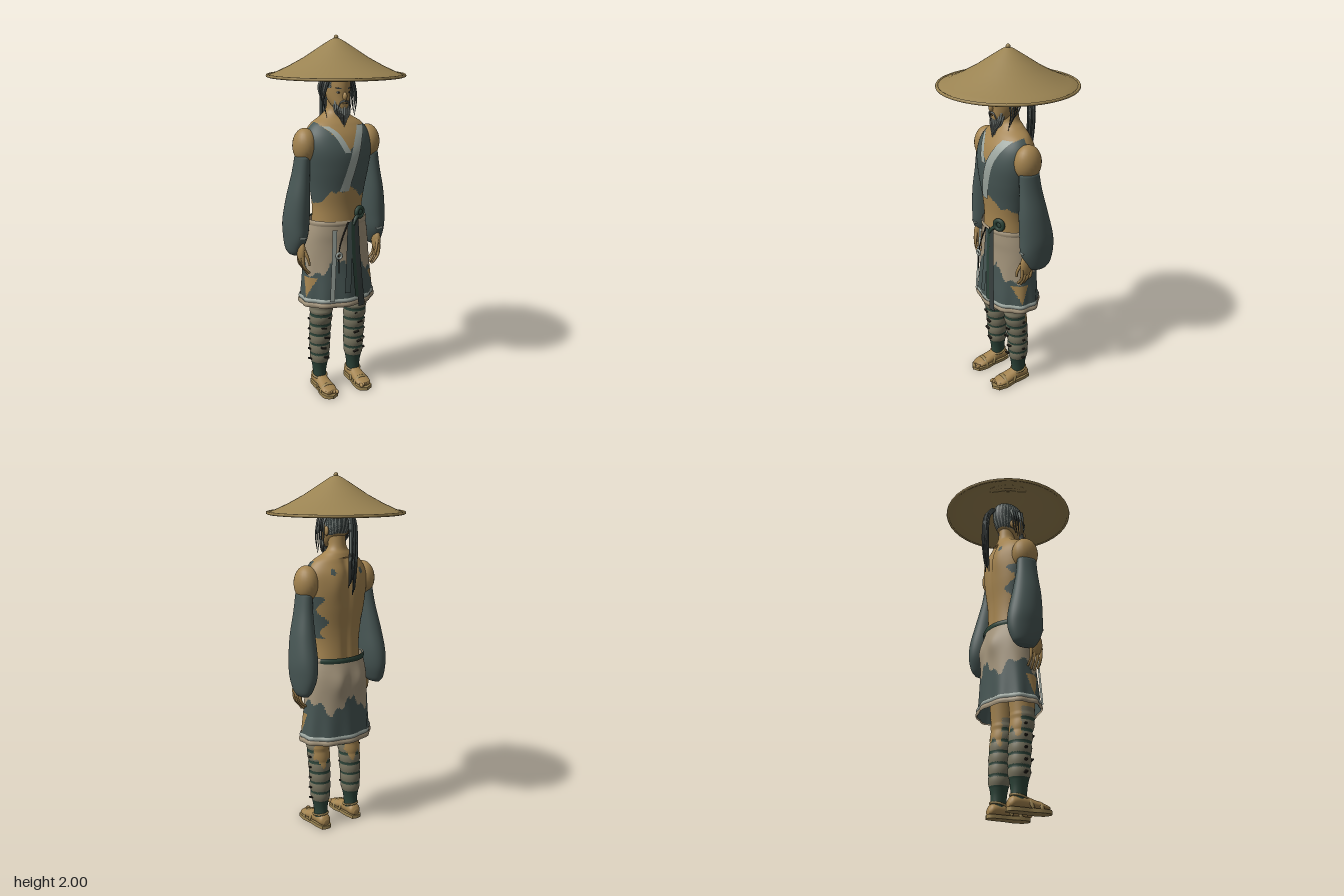
import * as THREE from 'three';

const V = (x, y, z) => new THREE.Vector3(x, y, z);

// Smooth cross-section sampler; a section is [y, centreX, centreZ, radiusX, radiusZ]
function sampler(secs) {
  const a = new THREE.CatmullRomCurve3(secs.map(s => V(s[0], s[1], s[2])), false, 'catmullrom');
  const b = new THREE.CatmullRomCurve3(secs.map(s => V(s[3], s[4], 0)), false, 'catmullrom');
  return t => { const p = a.getPoint(t), q = b.getPoint(t); return [p.x, p.y, p.z, q.x, q.y]; };
}

// Front surface depth of a lofted body at (x, y)
function frontOf(secs, lift) {
  const at = sampler(secs);
  return (x, y) => {
    let lo = 0, hi = 1;
    for (let i = 0; i < 18; i++) { const m = (lo + hi) / 2; if (at(m)[0] < y) lo = m; else hi = m; }
    const [, cx, cz, rx, rz] = at(lo), u = (x - cx) / rx;
    return cz + rz * Math.sqrt(Math.max(0, 1 - u * u)) + lift;
  };
}

// Closed skin through the sections; pick() chooses the colour of each face
function loft(name, secs, mats, { pick = () => 0, warp, rows = 40, cols = 40, open = false } = {}) {
  const at = sampler(secs), pos = [], buckets = mats.map(() => []);
  for (let i = 0; i <= rows; i++) {
    const [y, cx, cz, rx, rz] = at(i / rows);
    for (let j = 0; j < cols; j++) {
      const a = j / cols * Math.PI * 2, v = V(cx + rx * Math.sin(a), y, cz + rz * Math.cos(a));
      if (warp) warp(v, a);
      pos.push(v);
    }
  }
  const tri = (a, b, c) => {
    const m = pos[a].clone().add(pos[b]).add(pos[c]).divideScalar(3);
    buckets[pick(m.x, m.y, m.z)].push(a, b, c);
  };
  for (let i = 0; i < rows; i++) for (let j = 0; j < cols; j++) {
    const k = (j + 1) % cols, a = i * cols + j, b = i * cols + k;
    tri(a, b, b + cols); tri(a, b + cols, a + cols);
  }
  if (!open) {
    const n = pos.length, top = rows * cols, s0 = at(0), s1 = at(1);
    pos.push(V(s0[1], s0[0], s0[2]), V(s1[1], s1[0], s1[2]));
    for (let j = 0; j < cols; j++) {
      const k = (j + 1) % cols;
      tri(n, k, j); tri(n + 1, top + j, top + k);
    }
  }
  const g = new THREE.BufferGeometry().setFromPoints(pos);
  g.setIndex(buckets.flat());
  let start = 0;
  buckets.forEach((b, i) => { g.addGroup(start, b.length, i); start += b.length; });
  g.computeVertexNormals();
  const mesh = new THREE.Mesh(g, mats);
  mesh.name = name;
  return mesh;
}

// Cloth ribbon following [x, y] points, draped on depth z(x, y)
function ribbon(name, pts, width, z, mat) {
  const c = new THREE.CatmullRomCurve3(pts.map(p => V(p[0], p[1], 0))), n = 24;
  const g = new THREE.PlaneGeometry(width, 1, 4, n), p = g.attributes.position;
  for (let i = 0; i < p.count; i++) {
    const q = c.getPoint(0.5 - p.getY(i)), x = q.x + p.getX(i);
    p.setXYZ(i, x, q.y, z(x, q.y));
  }
  g.computeVertexNormals();
  const m = new THREE.Mesh(g, mat); m.name = name; return m;
}

// Strand that thins toward its end
function strand(name, pts, r, mat, taper = 0.85) {
  const c = new THREE.CatmullRomCurve3(pts.map(p => V(...p))), n = 14;
  const g = new THREE.TubeGeometry(c, n, r, 6), p = g.attributes.position, v = V(0, 0, 0);
  for (let i = 0; i < p.count; i++) {
    const u = Math.floor(i / 7) / n;
    v.fromBufferAttribute(p, i).lerp(c.getPointAt(u), taper * u);
    p.setXYZ(i, v.x, v.y, v.z);
  }
  const m = new THREE.Mesh(g, mat); m.name = name; return m;
}

export function createModel() {
  const root = new THREE.Group();
  root.name = 'wanderer';
  const mat = (name, color) => Object.assign(new THREE.MeshStandardMaterial({ color, side: THREE.DoubleSide }), { name });
  const skin = mat('skin', 0xa3834f), straw = mat('straw', 0x9a8352), teal = mat('teal cloth', 0x475654),
    beige = mat('beige cloth', 0xa3947b), pale = mat('pale trim', 0x9ca69f), green = mat('dark green', 0x2b4237),
    hair = mat('dark hair', 0x363e3d), grey = mat('grey hair', 0x737a76), wrap = mat('leg wrap', 0x77735f),
    dark = mat('dark detail', 0x26231d);
  const add = (...m) => root.add(...m);
  const put = (name, geo, m, p, s = [1, 1, 1], r = [0, 0, 0]) => {
    const mesh = new THREE.Mesh(geo, m);
    mesh.name = name; mesh.position.set(...p); mesh.scale.set(...s); mesh.rotation.set(...r);
    root.add(mesh); return mesh;
  };
  const ball = new THREE.SphereGeometry(1, 24, 16), box = new THREE.BoxGeometry(1, 1, 1);
  const mirror = (secs, s) => secs.map(([y, x, ...r]) => [y, x * s, ...r]);

  // Conical hat
  const top = [[0.36, 1.797], [0.32, 1.811], [0.25, 1.843], [0.17, 1.886], [0.09, 1.938], [0.03, 1.976], [0, 1.988]];
  const under = top.map(([x, y]) => [x, y - 0.008]).reverse();
  put('hat', new THREE.LatheGeometry([...under, ...top].map(p => new THREE.Vector2(...p)), 40), straw, [0, 0, 0]);
  put('hatRim', new THREE.TorusGeometry(0.364, 0.008, 8, 40), straw, [0, 1.794, 0], [1, 1, 1], [Math.PI / 2, 0, 0]);
  put('hatKnob', ball, straw, [0, 1.988, 0], [0.012, 0.012, 0.012]);

  // Head with hair grown from the scalp
  const head = [[1.61, 0, 0.065, 0.02, 0.03], [1.64, 0, 0.045, 0.044, 0.056], [1.69, 0, 0.016, 0.062, 0.085],
    [1.75, 0, 0.005, 0.068, 0.098], [1.81, 0, 0, 0.066, 0.094], [1.85, 0, -0.005, 0.05, 0.07], [1.87, 0, -0.005, 0.02, 0.03]];
  add(loft('head', head, [skin, hair, grey], {
    cols: 72,
    pick: (x, y, z) => (y > 1.785 || (z < 0.01 && y > 1.675 - z * 0.2) || (Math.abs(x) > 0.057 && y > 1.73))
      ? (Math.sin(Math.atan2(x, z) * 26) > 0.45 ? 2 : 1) : 0,
  }));
  const face = frontOf(head, 0.001);
  put('nose', ball, skin, [0, 1.69, 0.103], [0.012, 0.022, 0.016]);
  put('mouth', box, dark, [0, 1.652, face(0, 1.652) + 0.002], [0.026, 0.004, 0.004]);
  for (const s of [1, -1]) {
    put('eye', ball, pale, [s * 0.031, 1.71, face(0.031, 1.71) - 0.001], [0.012, 0.006, 0.004]);
    put('pupil', ball, dark, [s * 0.031, 1.71, face(0.031, 1.71) + 0.001], [0.005, 0.005, 0.004]);
    put('eyebrow', box, hair, [s * 0.032, 1.732, face(0.032, 1.732)], [0.03, 0.006, 0.006], [0, s * 0.35, s * 0.12]);
    put('ear', ball, skin, [s * 0.067, 1.7, -0.005], [0.01, 0.026, 0.016]);
    add(strand('moustache', [[0, 1.667, 0.106], [s * 0.022, 1.66, 0.102], [s * 0.036, 1.62, 0.09]], 0.006, grey));
    for (let i = 0; i < 5; i++)
      add(strand('sideLock', [[s * 0.06, 1.8, 0.06 - i * 0.018], [s * (0.082 + i * 0.003), 1.74, 0.055 - i * 0.018],
        [s * (0.097 - i * 0.003), 1.67, 0.05 - i * 0.014], [s * (0.082 - i * 0.002), 1.58 + i * 0.014, 0.055 - i * 0.01]], 0.009, i % 3 === 1 ? grey : hair));
  }
  for (let i = -4; i <= 4; i++) for (const d of [0, 1])
    add(strand('beard', [[i * 0.0095, 1.648 + Math.abs(i) * 0.006, 0.09 - Math.abs(i) * 0.006 - d * 0.015],
      [i * 0.01, 1.605, 0.1 - Math.abs(i) * 0.004 - d * 0.015], [i * 0.005, 1.53 + Math.abs(i) * 0.011, 0.098 - d * 0.01]], 0.009, i % 3 === 0 && d ? hair : grey));
  for (let i = 0; i < 9; i++) {
    const x = (i % 3 - 1) * 0.011, z = Math.floor(i / 3) * 0.008;
    add(strand('ponytail', [[x * 0.5, 1.81, -0.09 - z], [x, 1.76, -0.13 - z], [x * 1.5, 1.64, -0.143 - z],
      [x * 1.6, 1.5, -0.138 - z], [x * 1.2, 1.37 + (i * 5 % 7) * 0.012, -0.13 - z]], 0.01, i % 4 === 1 ? grey : hair, 0.75));
  }

  // Torso: bare back, short torn vest at the front and flanks
  const torso = [[0.96, 0, 0.01, 0.15, 0.12], [1.08, 0, 0.01, 0.143, 0.115], [1.18, 0, 0.013, 0.156, 0.12],
    [1.3, 0, 0.015, 0.18, 0.134], [1.4, 0, 0.015, 0.195, 0.136], [1.48, 0, 0.008, 0.188, 0.12],
    [1.54, 0, 0, 0.15, 0.09], [1.58, 0, -0.01, 0.088, 0.065], [1.62, 0, -0.01, 0.05, 0.05], [1.72, 0, -0.005, 0.045, 0.048]];
  add(loft('torso', torso, [skin, teal], {
    rows: 90, cols: 96,
    warp: v => {
      if (v.z < 0 && v.y < 1.56) v.z += 0.012 * Math.exp(-((v.x / 0.025) ** 2))
        - 0.008 * Math.exp(-(((Math.abs(v.x) - 0.08) / 0.04) ** 2) - ((v.y - 1.43) / 0.08) ** 2);
    },
    pick: (x, y, z) => {
      const ax = Math.abs(x), jag = 0.012 * Math.sin(x * 55) + 0.006 * Math.sin(x * 120);
      if (z < 0) {
        const spot = Math.hypot(ax - 0.09, (y - 1.49) * 0.7) < 0.013;
        return spot || (y > 1.13 && y < 1.36 && z > -0.06 + 0.02 * Math.sin(y * 50)) ? 1 : 0;
      }
      if (y < 1.2 - 0.085 * (ax / 0.15) ** 2 + jag) return 0;
      return y > 1.41 + Math.abs(x - 0.01) || y > 1.56 || (ax > 0.186 && y > 1.22) ? 0 : 1;
    },
  }));
  const chest = frontOf(torso, 0.006);
  add(ribbon('leftCollar', [[0.105, 1.535], [0.065, 1.46], [0.025, 1.34], [-0.02, 1.19]], 0.052, chest, pale));
  add(ribbon('rightCollar', [[-0.1, 1.535], [-0.06, 1.5], [-0.005, 1.4]], 0.034, chest, pale));

  // Shoulders, sleeves and hands
  const sleeve = [[0.83, 0.25, -0.03, 0.025, 0.05], [0.86, 0.248, -0.03, 0.042, 0.074], [0.93, 0.24, -0.024, 0.06, 0.1],
    [1.02, 0.236, -0.02, 0.068, 0.1], [1.15, 0.228, -0.005, 0.06, 0.085], [1.28, 0.215, 0.005, 0.045, 0.066],
    [1.38, 0.205, 0.01, 0.038, 0.058]];
  for (const s of [1, -1]) {
    put('shoulder', ball, skin, [s * 0.19, 1.43, 0.008], [0.065, 0.095, 0.076]);
    add(loft('sleeve', mirror(sleeve, s), [teal]));
    put('cuffStitch', box, pale, [s * 0.236, 0.94, 0.075], [0.04, 0.008, 0.008], [0, 0, s * 0.15]);
    put('palm', ball, skin, [s * 0.235, 0.86, 0.042], [0.022, 0.065, 0.038]);
    for (let i = 0; i < 4; i++) {
      const z = 0.012 + i * 0.02, len = [0.02, 0.004, 0, 0.012][i];
      add(strand('finger', [[s * 0.238, 0.84, z], [s * 0.232, 0.78, z], [s * 0.2, 0.725 + len, z]], 0.0105, skin, 0.4));
    }
    add(strand('thumb', [[s * 0.228, 0.87, 0.07], [s * 0.212, 0.82, 0.086], [s * 0.203, 0.785, 0.084]], 0.011, skin, 0.4));
  }

  // Skirt: beige cloth over a teal lower half, with tears at the sides
  const skirt = [[0.54, 0, 0.004, 0.216, 0.15], [0.62, 0, 0.004, 0.209, 0.146], [0.75, 0, 0, 0.198, 0.138],
    [0.88, 0, -0.002, 0.19, 0.132], [0.95, 0, 0.002, 0.18, 0.13], [1.02, 0, 0.008, 0.164, 0.122]];
  const folds = (v, a) => {
    const f = 1 + 0.025 * Math.cos(a * 10) * THREE.MathUtils.clamp((0.85 - v.y) / 0.3, 0, 1);
    v.x *= f; v.z *= f;
    if (v.z < 0) v.z -= 0.018 * Math.exp(-(((Math.abs(v.x) - 0.07) / 0.045) ** 2) - ((v.y - 0.89) / 0.07) ** 2);
  };
  add(loft('skirt', skirt, [beige, teal, skin], {
    open: true, warp: folds, rows: 70, cols: 120,
    pick: (x, y, z) => {
      const a = Math.atan2(Math.abs(x), z);
      if (Math.abs(x) > 0.1 && Math.abs(z - 0.045) < (y - 0.585) * 0.38 && y < 0.7) return 2;
      return y > 0.75 + 0.035 * Math.sin(a * 5 - 1) + 0.02 * Math.sin(a * 13) + (a < 0.5 ? 0.04 : 0) ? 0 : 1;
    },
  }));
  const ring = (name, y0, y1, grow, mats, pick) => add(loft(name, [0, 0.5, 1].map(t => {
    const y = y0 + (y1 - y0) * t, k = THREE.MathUtils.clamp((y - 0.54) / 0.48, 0, 1);
    return [y, 0, 0.004, 0.216 - 0.052 * k + grow + (t === 0.5 ? 0.004 : 0), 0.15 - 0.026 * k + grow + (t === 0.5 ? 0.004 : 0)];
  }), mats, { open: true, warp: folds, rows: 6, cols: 120, pick }));
  ring('hemLower', 0.535, 0.562, 0.006, [beige]);
  ring('hemUpper', 0.562, 0.584, 0.005, [pale]);
  ring('waistband', 0.995, 1.024, 0.005, [beige, green], (x, y, z) => z < -0.06 ? 1 : 0);

  // Hanging sashes, knot and pendant
  const hang = lift => (x, y) => 0.142 + lift + (1.02 - y) * 0.055 - x * x * 0.8;
  add(ribbon('paleStrip', [[-0.075, 0.98], [-0.085, 0.8], [-0.1, 0.58]], 0.026, hang(-0.003), pale));
  add(ribbon('tealSash', [[0.015, 1.02], [0.005, 0.85], [-0.01, 0.62]], 0.036, hang(0.004), teal));
  add(ribbon('darkSash', [[0.045, 1.03], [0.055, 0.8], [0.078, 0.53]], 0.042, hang(0.002), hair));
  add(ribbon('greenSash', [[0.03, 1.02], [0.03, 0.85], [0.045, 0.59]], 0.022, hang(0.007), green));
  add(strand('cord', [[0, 1.02, 0.148], [-0.04, 0.93, 0.152], [-0.06, 0.86, 0.156], [-0.063, 0.74, 0.162]], 0.004, dark, 0.3));
  put('pendant', new THREE.TorusGeometry(0.015, 0.007, 8, 20), pale, [-0.061, 0.84, 0.16]);
  put('knot', new THREE.TorusGeometry(0.026, 0.012, 10, 24), green, [0.085, 1.06, 0.118], [1, 1, 1], [0, 0.4, 0]);
  put('knotCentre', ball, green, [0.085, 1.06, 0.115], [0.02, 0.02, 0.012]);
  add(strand('knotTail', [[0.065, 1.045, 0.13], [0.045, 1.025, 0.14], [0.03, 1.0, 0.146]], 0.012, green, 0.3));

  // Wrapped legs and sandalled feet
  const leg = [[0.05, 0.11, 0, 0.036, 0.042], [0.12, 0.11, 0.003, 0.04, 0.044], [0.2, 0.11, 0.005, 0.053, 0.056],
    [0.3, 0.11, 0.008, 0.058, 0.058], [0.4, 0.109, 0.015, 0.06, 0.061], [0.5, 0.108, 0.026, 0.063, 0.066], [0.72, 0.1, 0.02, 0.072, 0.08]];
  const foot = [[-0.06, 0, -0.035, 0.018, 0.016], [-0.04, 0, -0.045, 0.036, 0.032], [0.01, 0, -0.05, 0.038, 0.038],
    [0.07, 0, -0.042, 0.04, 0.03], [0.13, 0, -0.034, 0.044, 0.02], [0.165, 0, -0.03, 0.03, 0.012]];
  const sole = new THREE.Shape([[0, -0.068], [0.03, -0.058], [0.038, -0.01], [0.038, 0.05], [0.048, 0.11], [0.04, 0.165], [0, 0.188]]
    .map(p => new THREE.Vector2(...p)));
  sole.splineThru([[-0.04, 0.165], [-0.048, 0.11], [-0.038, 0.05], [-0.038, -0.01], [-0.03, -0.058], [0, -0.068]].map(p => new THREE.Vector2(...p)));
  const soleGeo = new THREE.ExtrudeGeometry(sole, { depth: 0.02, bevelEnabled: false });
  for (const s of [1, -1]) {
    add(loft('leg', mirror(leg, s), [skin, wrap, green], {
      rows: 110,
      warp: v => {
        const bulge = v.y > 0.16 && v.y < 0.5 ? 1 + 0.07 * Math.abs(Math.sin((v.y - 0.16) / 0.062 * Math.PI)) : 1;
        v.x = s * 0.11 + (v.x - s * 0.11) * bulge; v.z *= bulge;
      },
      pick: (x, y, z) => {
        if (y < 0.15) return 2;
        if (y > 0.53 || (z < -0.01 && y > 0.4 + 0.03 * Math.sin(x * 90))) return 0;
        const f = ((y - 0.16) / 0.062) % 1;
        return y < 0.5 && (f < 0.13 || f > 0.87) ? 2 : 1;
      },
    }));
    for (let i = 0; i < 5; i++) {
      const y = 0.19 + i * 0.062;
      put('wrapEnd', box, dark, [s * 0.172, y, 0.01], [0.022, 0.008, 0.014], [0, 0, s * 0.3]);
      put('wrapTuck', box, dark, [s * (0.095 + 0.02 * (i % 2)), y + 0.015, 0.07 + i * 0.003], [0.03, 0.007, 0.014], [0, 0, s * 0.2]);
    }
    const f = loft('foot', foot, [skin]);
    f.rotation.x = Math.PI / 2; f.position.x = s * 0.11; add(f);
    put('sandalSole', soleGeo, straw, [s * 0.11, 0.02, 0], [1, 1, 1], [Math.PI / 2, 0, 0]);
    for (let i = 0; i < 5; i++)
      put('toe', ball, skin, [s * (0.08 + i * 0.015), 0.032, 0.168 - i * 0.007], [0.0095 - i * 0.0006, 0.012, 0.018]);
    put('toeStrap', new THREE.TorusGeometry(0.042, 0.007, 8, 20, Math.PI), straw, [s * 0.11, 0.018, 0.11], [1.05, 0.95, 1.6]);
    put('instepStrap', new THREE.TorusGeometry(0.042, 0.007, 8, 20, Math.PI), straw, [s * 0.11, 0.02, 0.06], [1, 1.25, 1.4], [-0.35, 0, 0]);
    put('ankleStrap', new THREE.TorusGeometry(0.041, 0.006, 8, 24), straw, [s * 0.11, 0.075, 0.002], [1, 1.08, 1], [Math.PI / 2 + 0.2, 0, 0]);
  }
  return root;
}
